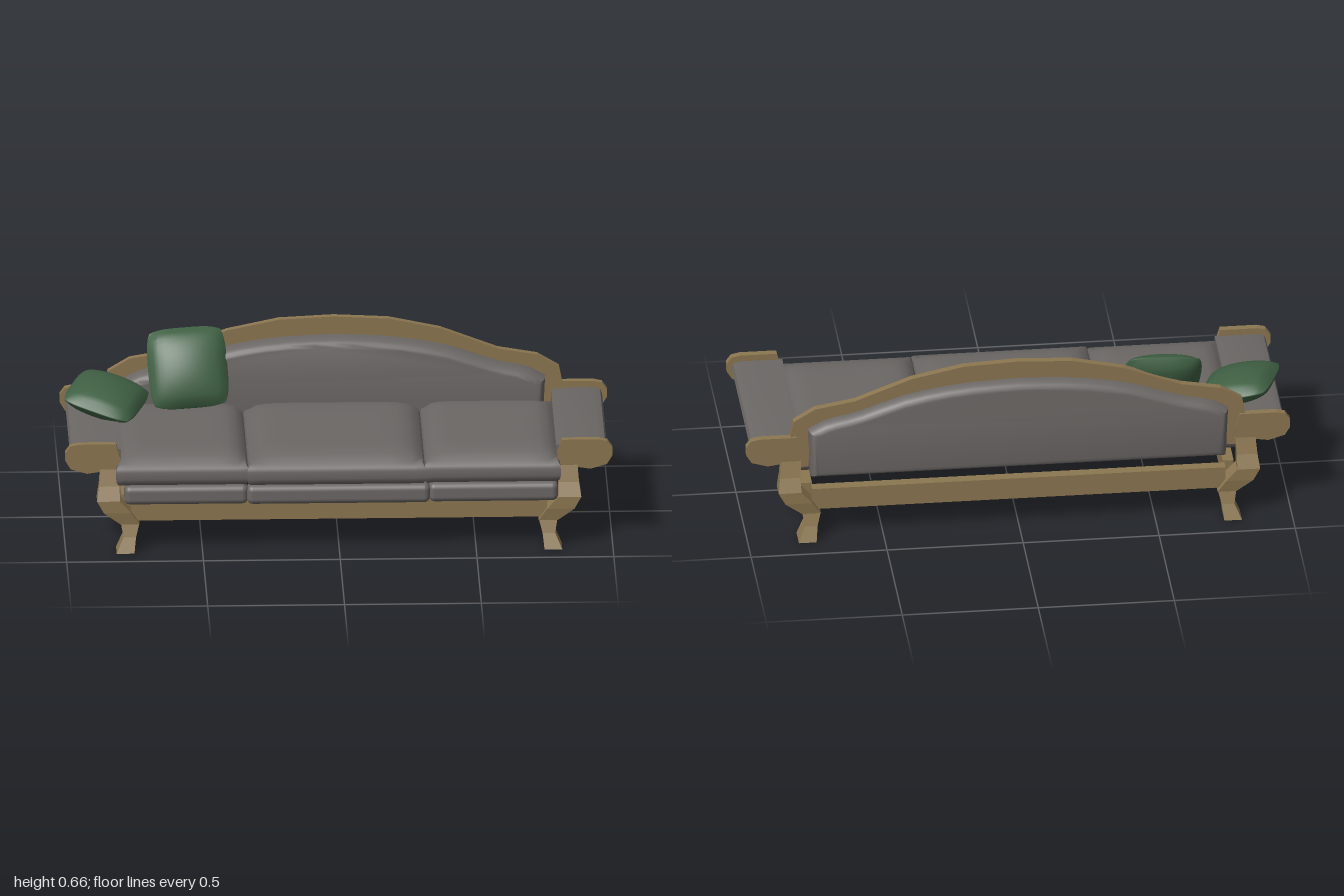
import * as THREE from 'three';
import { mergeVertices, toCreasedNormals } from 'three/addons/utils/BufferGeometryUtils.js';
import { RoundedBoxGeometry } from 'three/addons/geometries/RoundedBoxGeometry.js';

const wood = new THREE.MeshStandardMaterial({ color: 0x8b7650, flatShading: true });
const fabric = new THREE.MeshStandardMaterial({ color: 0x6b6765 });
const green = new THREE.MeshStandardMaterial({ color: 0x3f6043 });

// Move every vertex by a rule
function reshape(geo, rule) {
  const p = geo.attributes.position, v = new THREE.Vector3();
  for (let i = 0; i < p.count; i++) {
    rule(v.fromBufferAttribute(p, i));
    p.setXYZ(i, v.x, v.y, v.z);
  }
  return geo;
}

// Drop seams so that the normals run smoothly over the whole surface
function smooth(geo) {
  geo.deleteAttribute('uv');
  geo.deleteAttribute('normal');
  const g = mergeVertices(geo, 1e-4);
  g.computeVertexNormals();
  return g;
}

const shapeOf = (pts) => new THREE.Shape(pts.map(([x, y]) => new THREE.Vector2(x, y)));

// Flat-sided board from an outline, centred on its own depth
function board(pts, depth) {
  return new THREE.ExtrudeGeometry(shapeOf(pts), { depth, bevelEnabled: false })
    .translate(0, 0, -depth / 2);
}

// Full outline from the right half of an arch, left to right
const mirrored = (half) => [
  ...half.slice(1).reverse().map(([x, y]) => [-x, y]),
  ...half,
];

// Leg and arm-post sections: y, centre x, width, centre z, depth
const legSections = [
  [0, 0.782, 0.065, 0.372, 0.083],
  [0.055, 0.766, 0.046, 0.356, 0.066],
  [0.1, 0.764, 0.066, 0.348, 0.054],
];
const postSections = [
  [0.1, 0.764, 0.07, 0.335, 0.08],
  [0.145, 0.81, 0.1, 0.341, 0.078],
  [0.19, 0.843, 0.084, 0.345, 0.068],
  [0.24, 0.84, 0.075, 0.333, 0.045],
  [0.3, 0.835, 0.075, 0.3235, 0.027],
];

// Square loft through a list of sections, for the corner sx, sz
function loft(sections, sx, sz) {
  const n = sections.length - 1;
  return reshape(new THREE.BoxGeometry(1, 1, 1, 1, n, 1), (v) => {
    const [y, cx, w, cz, d] = sections[Math.round((v.y + 0.5) * n)];
    v.set(sx * cx + v.x * w, y, sz * cz + v.z * d);
  });
}

// Soft square pillow, thin at the seams, lying flat
function pillow(w, t, d) {
  return smooth(reshape(new THREE.BoxGeometry(2, 2, 2, 14, 2, 14), (v) => {
    const { x, y, z } = v;
    const puff = Math.pow((1 - x * x) * (1 - z * z), 0.55);
    v.set(x * w / 2 * (1 - 0.1 * z ** 4), y * t / 2 * (0.05 + 0.95 * puff),
      z * d / 2 * (1 - 0.1 * x ** 4));
  }));
}

// Seat cushion: top falls off towards its edges, sides bulge, underside flat
function seat(w, h, d) {
  const geo = reshape(new THREE.BoxGeometry(2, 2, 2, 16, 6, 16), (v) => {
    const { x, y, z } = v;
    const fall = 0.034 * Math.min(1, x ** 10 + z ** 8) * (y + 1) / 2;
    const inset = 0.018 * y ** 4;
    v.set(x * (w / 2 - inset * 0.6), y * h / 2 - fall, z * (d / 2 - inset));
    v.y -= 0.008 * (1 - y) / 2 * (1 - z) / 2;
  });
  return toCreasedNormals(geo, 0.95);
}

export function createModel() {
  const model = new THREE.Group();
  model.name = 'sofa';
  const add = (name, geo, mat, x = 0, y = 0, z = 0, parent = model) => {
    const m = new THREE.Mesh(geo, mat);
    m.name = name;
    m.position.set(x, y, z);
    parent.add(m);
    return m;
  };

  // Rails of the base
  for (const s of [1, -1]) {
    add(s > 0 ? 'frontRail' : 'backRail', new THREE.BoxGeometry(1.52, 0.083, 0.04), wood, 0, 0.15, s * 0.338);
    add('sideRail', new THREE.BoxGeometry(0.04, 0.086, 0.62), wood, s * 0.775, 0.15, 0);
  }

  // Corners: splayed leg, curved post and scroll-shaped arm end
  const scroll = [[0.8, 0.345], [0.815, 0.397], [0.95, 0.397], [0.982, 0.39], [1, 0.365],
    [1, 0.335], [0.98, 0.302], [0.92, 0.284], [0.85, 0.295], [0.8, 0.28]];
  const pad = [[0.795, 0.372], [0.95, 0.374], [0.975, 0.366], [0.982, 0.35], [0.965, 0.332],
    [0.92, 0.319], [0.795, 0.319]];
  for (const sx of [1, -1]) {
    const flip = (pts) => pts.map(([x, y]) => [sx * x, y]);
    for (const sz of [1, -1]) {
      const corner = new THREE.Group();
      corner.name = (sz > 0 ? 'front' : 'back') + (sx > 0 ? 'Left' : 'Right') + 'Corner';
      model.add(corner);
      add('leg', loft(legSections, sx, sz), wood, 0, 0, 0, corner);
      add('armPost', loft(postSections, sx, sz), wood, 0, 0, 0, corner);
      add('armScroll', board(flip(scroll), 0.027), wood, 0, 0, sz * 0.3235, corner);
    }
    // Arm pad on its board
    add('armBoard', new THREE.BoxGeometry(0.1, 0.008, 0.63), wood, sx * 0.865, 0.317, 0);
    add('armPad', toCreasedNormals(board(flip(pad), 0.63), 0.8), fabric);
  }

  // Arched back frame
  const outer = [[0, 0.66], [0.2, 0.65], [0.39, 0.61], [0.6, 0.53], [0.745, 0.505],
    [0.825, 0.457], [0.838, 0.39], [0.83, 0.27]];
  const inner = [[0, 0.585], [0.2, 0.575], [0.4, 0.54], [0.58, 0.475], [0.73, 0.45],
    [0.765, 0.43], [0.77, 0.27]];
  add('backFrame', board([...mirrored(outer), ...mirrored(inner).reverse()], 0.027), wood, 0, 0, -0.3135);

  // Upholstered back, padded and rounded at the rim
  const rim = 0.03, puff = 0.05;
  const arch = new THREE.SplineCurve([[0, 0.563], [0.2, 0.553], [0.4, 0.52], [0.58, 0.46], [0.69, 0.435], [0.742, 0.41]]
    .map(([x, y]) => new THREE.Vector2(x, y))).getPoints(12).map((p) => [p.x, p.y]);
  add('backCushion', toCreasedNormals(new THREE.ExtrudeGeometry(
    shapeOf(mirrored([...arch, [0.735, 0.265]])), {
      depth: 0.145 - 2 * puff, bevelThickness: puff, bevelSize: rim, bevelSegments: 5,
    }), 0.8), fabric, 0, 0, -0.373 + puff);

  // Seat cushions, each with a padded strip under its front edge
  const seats = [[-0.815, -0.33, 0.378], [-0.336, 0.316, 0.388], [0.31, 0.81, 0.378]];
  for (const [x0, x1, front] of seats) {
    const d = front + 0.31;
    add('seatCushion', seat(x1 - x0, 0.115, d), fabric, (x0 + x1) / 2, 0.303, front - d / 2);
  }
  const strips = [[-0.785, -0.333, 0.387], [-0.337, 0.332, 0.394], [0.328, 0.8, 0.387]];
  for (const [x0, x1, front] of strips) {
    add('frontStrip', new RoundedBoxGeometry(x1 - x0, 0.072, 0.074, 4, 0.022),
      fabric, (x0 + x1) / 2, 0.211, front - 0.037);
  }

  // Loose pillows
  const upright = add('uprightPillow', pillow(0.29, 0.12, 0.3), green, -0.535, 0.495, -0.222);
  upright.rotation.set(1.06, 0.07, 0);
  const lying = add('lyingPillow', pillow(0.27, 0.115, 0.3), green, -0.835, 0.418, -0.137);
  lying.rotation.set(0.16, -0.3, -0.22, 'ZXY');

  return model;
}
